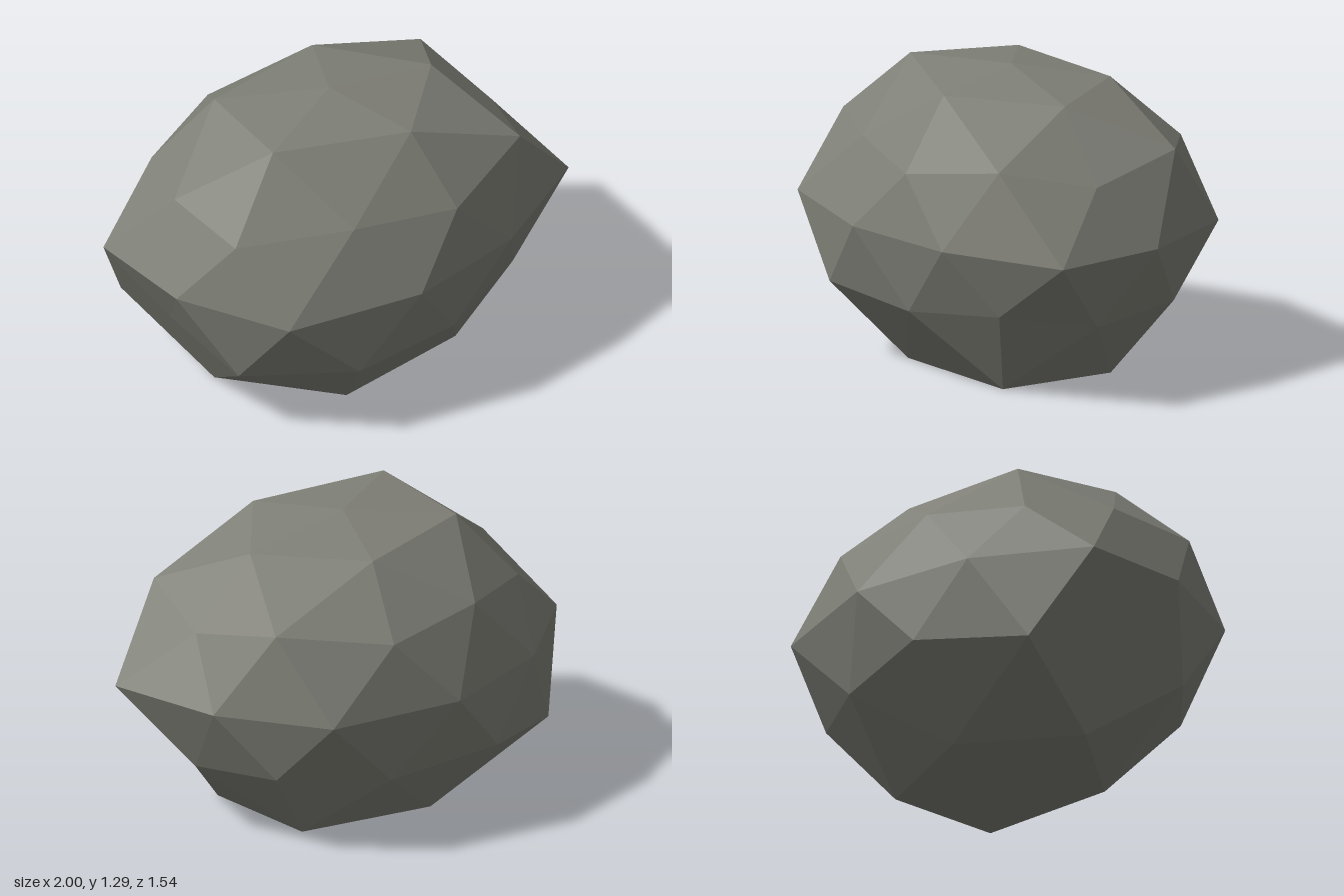
import * as THREE from 'three';

// A faceted boulder: a once-subdivided icosahedron, squashed, each corner
// pushed in or out along its own direction, with a flat underside.
const CENTRE = new THREE.Vector3(-0.03, 0.665, 0.015);
const SCALE = new THREE.Vector3(1, 0.678, 0.81);

export function createModel() {
  const stone = new THREE.MeshStandardMaterial({ color: 0x7f8077, flatShading: true });
  stone.name = 'stone grey';

  const points = [];
  // direction from height and angle in degrees, times a push factor
  const add = (h, deg, push, flat = false) => {
    const a = THREE.MathUtils.degToRad(deg);
    const r = Math.sqrt(1 - h * h);
    const p = new THREE.Vector3(r * Math.cos(a), h, r * Math.sin(a))
      .multiplyScalar(push).multiply(SCALE).add(CENTRE);
    if (flat) p.y = 0;
    return points.push(p) - 1;
  };

  // corners, ring by ring from the top
  const top = add(1, 0, 0.922);
  const crown = [0.97, 0.995, 1.035, 0.99, 0.968]
    .map((f, k) => add(0.8507, 72 * k, f));
  const upper = [0.906, 1.018, 0.915, 0.9, 1.012, 0.908, 0.9, 0.91, 0.975, 1.04]
    .map((f, j) => add(j % 2 ? 0.5257 : 0.4472, 36 * j, f));
  const waist = [1.083, 0.92, 0.932, 1.07, 0.957, 1.02, 0.936, 0.97, 1.038, 0.957]
    .map((f, j) => add(0, 18 + 36 * j, f));
  const lower = [0.955, 0.93, 0.935, 1.045, 1.03, 0.89, 1.11, 1.015, 0.97, 0.98]
    .map((f, j) => add(j % 2 ? -0.4472 : -0.5257, 36 * j, f));
  const foot = [1.09, 1.01, 1.09, 0.975, 1.02]
    .map((f, k) => add(-0.8507, 36 + 72 * k, f, true));
  const base = add(-1, 0, 1, true);

  // facets between neighbouring rings
  const index = [];
  const tri = (a, b, c) => index.push(a, b, c);
  const at = (ring, i) => ring[(i + ring.length) % ring.length];
  for (let k = 0; k < 5; k++) {
    const j = 2 * k;
    // cap
    tri(top, at(crown, k + 1), crown[k]);
    tri(crown[k], at(upper, j), at(upper, j - 1));
    tri(crown[k], at(upper, j + 1), at(upper, j));
    tri(crown[k], at(crown, k + 1), at(upper, j + 1));
    // underside
    tri(base, foot[k], at(foot, k + 1));
    tri(foot[k], at(lower, j), at(lower, j + 1));
    tri(foot[k], at(lower, j + 1), at(lower, j + 2));
    tri(foot[k], at(lower, j + 2), at(foot, k + 1));
  }
  for (let j = 0; j < 10; j++) {
    // belts above and below the waist
    tri(upper[j], at(upper, j + 1), waist[j]);
    tri(at(upper, j + 1), at(waist, j + 1), waist[j]);
    tri(lower[j], waist[j], at(lower, j + 1));
    tri(at(lower, j + 1), waist[j], at(waist, j + 1));
  }

  const indexed = new THREE.BufferGeometry().setFromPoints(points);
  indexed.setIndex(index);
  const geometry = indexed.toNonIndexed();
  geometry.computeVertexNormals();

  const boulder = new THREE.Mesh(geometry, stone);
  boulder.name = 'boulder';
  const group = new THREE.Group();
  group.name = 'rock';
  group.add(boulder);
  return group;
}
